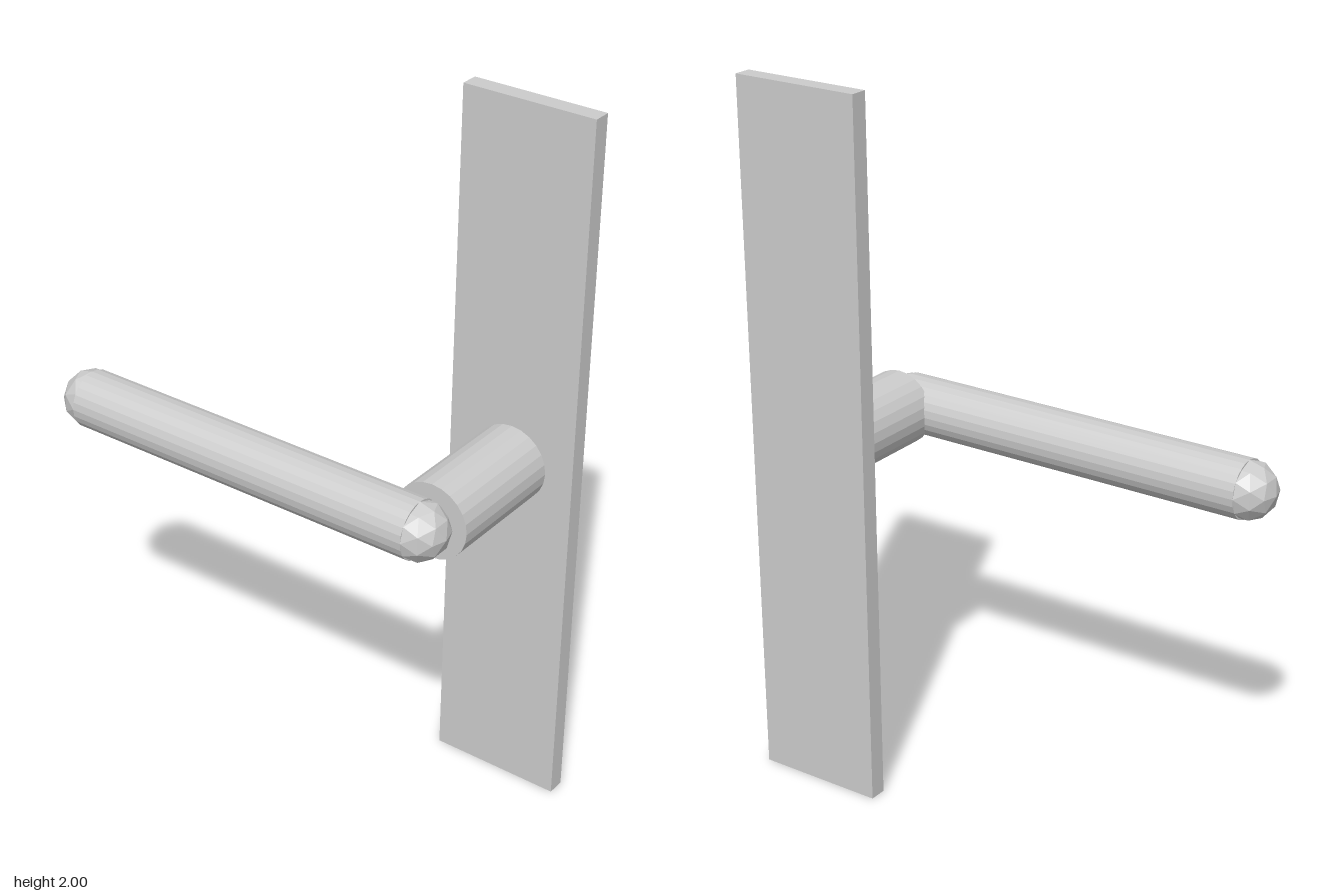
import * as THREE from 'three';

export function createModel() {
  const model = new THREE.Group();
  const material = new THREE.MeshStandardMaterial({ color: 0xcccccc, flatShading: true });

  const add = (name, geometry, x, y, z) => {
    const mesh = new THREE.Mesh(geometry, material);
    mesh.name = name;
    mesh.position.set(x, y, z);
    model.add(mesh);
    return mesh;
  };

  const pivotX = 0.487, tipX = -0.593; // centres of the lever's two round ends
  const leverZ = 0.187, leverR = 0.082;

  // Tall mounting plate
  add('backPlate', new THREE.BoxGeometry(0.375, 2, 0.05), pivotX, 1, -0.247);

  // Post standing out from the plate
  add('post', new THREE.CylinderGeometry(0.107, 0.107, 0.358, 24), pivotX, 1, -0.043)
    .rotation.x = Math.PI / 2;

  // Lever bar with faceted round ends
  add('lever', new THREE.CylinderGeometry(leverR, leverR, pivotX - tipX, 24), (pivotX + tipX) / 2, 1, leverZ)
    .rotation.z = Math.PI / 2;
  for (const [name, x] of [['leverPivotEnd', pivotX], ['leverTip', tipX]]) {
    add(name, new THREE.IcosahedronGeometry(leverR, 1), x, 1, leverZ);
  }

  return model;
}
